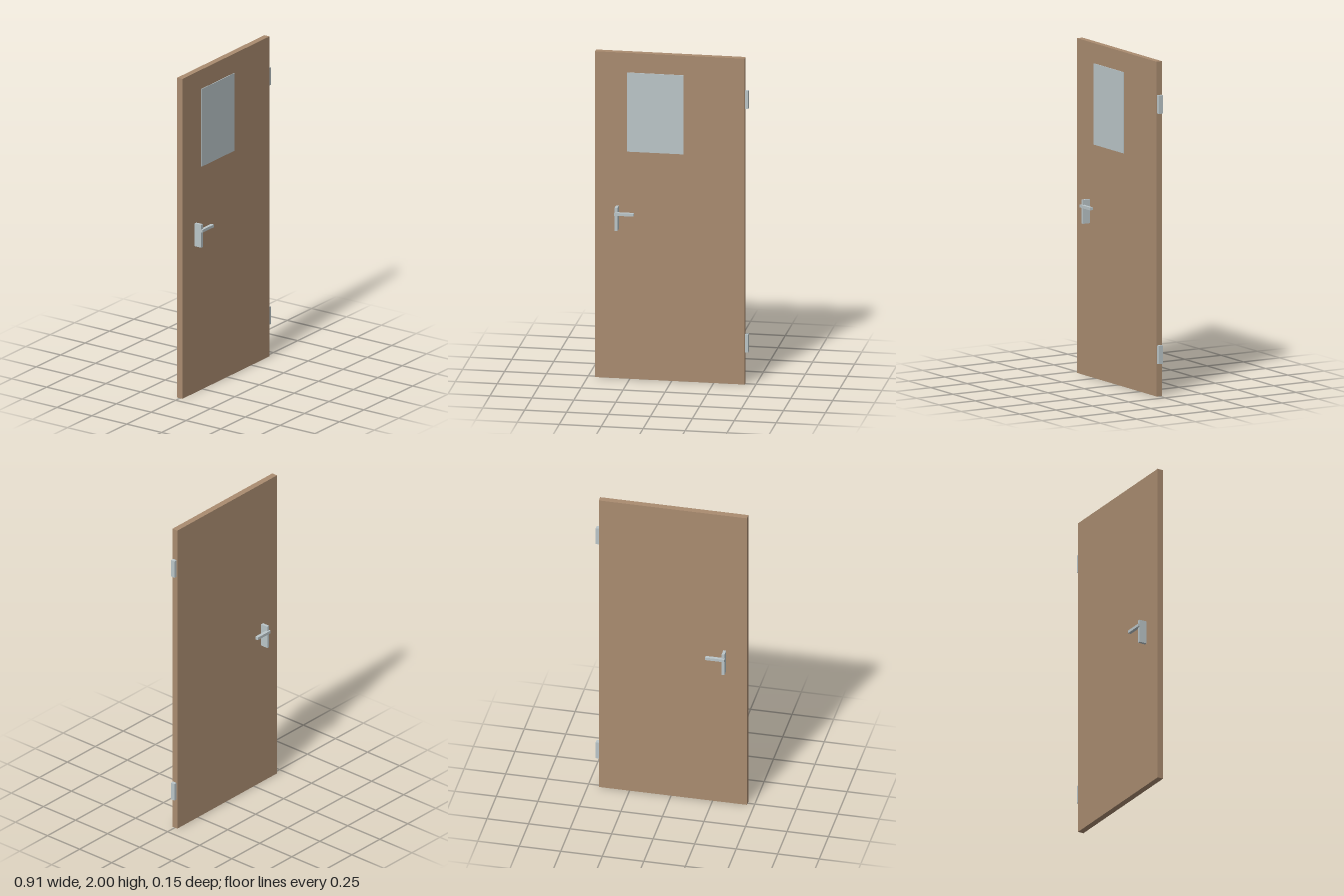
import * as THREE from 'three';

export function createModel() {
  const door = new THREE.Group();
  door.name = 'door';

  const wood = new THREE.MeshStandardMaterial({ color: 0xaa8c70 });
  wood.name = 'wood';
  const metal = new THREE.MeshStandardMaterial({ color: 0xbbc6c9 });
  metal.name = 'pale grey';

  // Box given by its lower and upper corners
  function box(name, material, [x0, y0, z0], [x1, y1, z1], parent = door) {
    const mesh = new THREE.Mesh(new THREE.BoxGeometry(x1 - x0, y1 - y0, z1 - z0), material);
    mesh.position.set((x0 + x1) / 2, (y0 + y1) / 2, (z0 + z1) / 2);
    mesh.name = name;
    parent.add(mesh);
  }

  // Door leaf with a thin window pane on the front
  box('leaf', wood, [-0.457, 0, -0.0185], [0.435, 2, 0.0185]);
  box('windowPane', metal, [-0.266, 1.395, 0.0185], [0.071, 1.88, 0.023]);

  // Hinges on the left edge
  for (const [name, y] of [['lowerHinge', 0.195], ['upperHinge', 1.69]]) {
    box(name, metal, [0.435, y, -0.0135], [0.455, y + 0.11, 0.0135]);
  }

  // Handles, mirrored front and back
  for (const [name, s] of [['frontHandle', 1], ['backHandle', -1]]) {
    const handle = new THREE.Group();
    handle.name = name;
    const z = (a, b) => (s > 0 ? [a, b] : [-b, -a]);
    const [p0, p1] = z(0.0185, 0.066);
    const [l0, l1] = z(0.057, 0.077);
    box('handlePlate', metal, [-0.332, 0.917, p0], [-0.315, 1.06, p1], handle);
    box('lever', metal, [-0.333, 1.014, l0], [-0.218, 1.031, l1], handle);
    door.add(handle);
  }

  return door;
}
